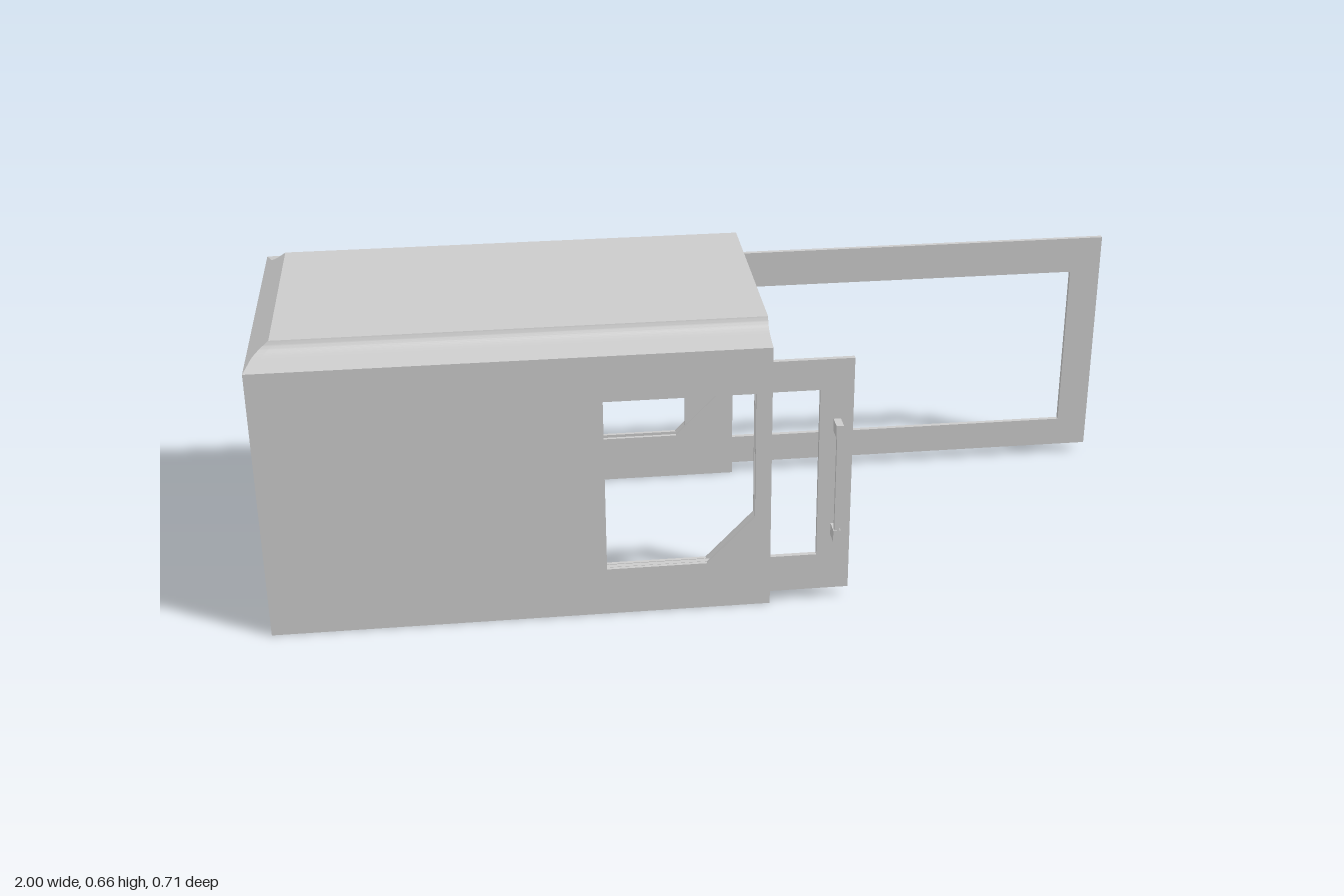
import * as THREE from 'three';
import { toCreasedNormals } from 'three/addons/utils/BufferGeometryUtils.js';

const material = new THREE.MeshStandardMaterial({ color: 0xcccccc });
const X0 = -1, X1 = 0.09, HALF = 0.33, INNER = 0.30, EAVES = 0.622, TOP = 0.66;

function add(group, name, geometry) {
  const mesh = new THREE.Mesh(geometry, material);
  mesh.name = name;
  group.add(mesh);
  return mesh;
}

function polygon(points) {
  return new THREE.Shape(points.map(([x, y]) => new THREE.Vector2(x, y)));
}

function extrude(shape, depth, start = 0) {
  return new THREE.ExtrudeGeometry(shape, { depth, bevelEnabled: false, curveSegments: 12 }).translate(0, 0, start);
}

function box(x0, x1, y0, y1, z0, z1) {
  return new THREE.BoxGeometry(x1 - x0, y1 - y0, z1 - z0)
    .translate((x0 + x1) / 2, (y0 + y1) / 2, (z0 + z1) / 2);
}

// Extrude a cross-section along x; startX and endX give the end positions at height y
function alongX(shape, startX, endX) {
  const g = extrude(shape, 1).rotateY(Math.PI / 2);
  const p = g.attributes.position;
  for (let i = 0; i < p.count; i++) {
    const y = p.getY(i);
    p.setX(i, p.getX(i) < 0.5 ? startX(y) : endX(y));
  }
  return toCreasedNormals(g, 0.4);
}

// The sloping plane that cuts the closed end of the roof
const slopeX = (y) => X0 + Math.max(0, y - EAVES) * (0.05 / (TOP - EAVES));

// Roof outline from the left eave over the top to the right eave
function outerRoof(shape) {
  shape.lineTo(HALF, EAVES);
  shape.lineTo(0.286, 0.631);
  shape.quadraticCurveTo(0.258, 0.636, 0.251, TOP);
  shape.lineTo(-0.251, TOP);
  shape.quadraticCurveTo(-0.258, 0.636, -0.286, 0.631);
  shape.lineTo(-HALF, EAVES);
}

function addRoof(group) {
  const ring = new THREE.Shape();
  ring.moveTo(HALF, 0.587);
  outerRoof(ring);
  ring.lineTo(-HALF, 0.587);
  ring.lineTo(-INNER, 0.587);
  ring.lineTo(-INNER, 0.6);
  ring.lineTo(-0.267, 0.607);
  ring.quadraticCurveTo(-0.25, 0.61, -0.232, 0.631);
  ring.lineTo(0.232, 0.631);
  ring.quadraticCurveTo(0.25, 0.61, 0.267, 0.607);
  ring.lineTo(INNER, 0.6);
  ring.lineTo(INNER, 0.587);
  ring.closePath();
  add(group, 'roof', alongX(ring, (y) => slopeX(y) + 0.02, () => X1));

  // Sloped plate closing the roof end
  const plate = new THREE.Shape();
  plate.moveTo(HALF, EAVES);
  outerRoof(plate);
  plate.closePath();
  add(group, 'roofSlope', alongX(plate, slopeX, (y) => slopeX(y) + 0.049));
}

function addEndWall(group) {
  const wall = polygon([[-HALF, 0], [HALF, 0], [HALF, 0.6], [-HALF, 0.6]]);
  const hole = new THREE.Path();
  hole.absarc(0, 0.33, 0.019, 0, Math.PI * 2, true);
  wall.holes.push(hole);
  add(group, 'endWall', alongX(wall, () => X0, () => X0 + 0.03));
  // Strip joining the end wall to the sloped plate
  const strip = polygon([[-1, 0.6], [-0.97, 0.6], [-0.97, 0.608], [-0.951, EAVES], [-1, EAVES]]);
  add(group, 'endWallTop', extrude(strip, INNER * 2, -INNER));
  for (const s of [-1, 1]) {
    add(group, 'endWallCorner', box(X0, -0.96, 0.585, EAVES, s * 0.315 - 0.015, s * 0.315 + 0.015));
  }
}

// Each side wall is two window sheets with a slot between them for the door
function addSideWall(group, side) {
  const sheet = polygon([[X0, 0], [X1, 0], [X1, 0.6], [X0, 0.6]]);
  sheet.holes.push(polygon([[-0.27, 0.112], [-0.27, 0.517], [0.055, 0.517], [0.055, 0.22], [-0.05, 0.112]]));
  const thick = 0.008;
  for (const [name, z] of [['outerSideSheet', 0.326], ['innerSideSheet', 0.304]]) {
    add(group, name, extrude(sheet, thick, side * z - thick / 2));
  }
  const zc = side * 0.315;
  add(group, 'slotRail', box(X0, X1, 0, 0.018, zc - 0.0075, zc + 0.0075));
  add(group, 'slotEnd', box(X0, -0.97, 0, 0.6, zc - 0.0075, zc + 0.0075));
}

// Sliding door with a window and a grab handle, its leading edge at endX
function makeDoor(name, endX) {
  const door = new THREE.Group();
  door.name = name;
  const x0 = endX - 1.027;
  const panel = polygon([[x0, 0.025], [endX, 0.025], [endX, 0.585], [x0, 0.585]]);
  panel.holes.push(polygon([[x0 + 0.077, 0.112], [x0 + 0.077, 0.514], [endX - 0.073, 0.514], [endX - 0.073, 0.112]]));
  add(door, 'doorPanel', extrude(panel, 0.011, 0.31));
  const hx = endX - 0.035;
  for (const y of [0.161, 0.416]) {
    add(door, 'handleBracket', box(hx - 0.008, hx + 0.008, y, y + 0.028, 0.32, 0.357));
  }
  add(door, 'handleBar', box(hx - 0.006, hx + 0.006, 0.185, 0.42, 0.347, 0.356));
  return door;
}

export function createModel() {
  const model = new THREE.Group();
  model.name = 'slidingDoorCabin';

  const body = new THREE.Group();
  body.name = 'body';
  addRoof(body);
  addEndWall(body);
  addSideWall(body, 1);
  addSideWall(body, -1);
  model.add(body);

  // Front door nearly closed; back door turned over and slid fully out
  model.add(makeDoor('frontDoor', 0.267));
  const backDoor = makeDoor('backDoor', 1);
  backDoor.rotation.x = Math.PI;
  backDoor.position.y = 0.608;
  model.add(backDoor);
  return model;
}
